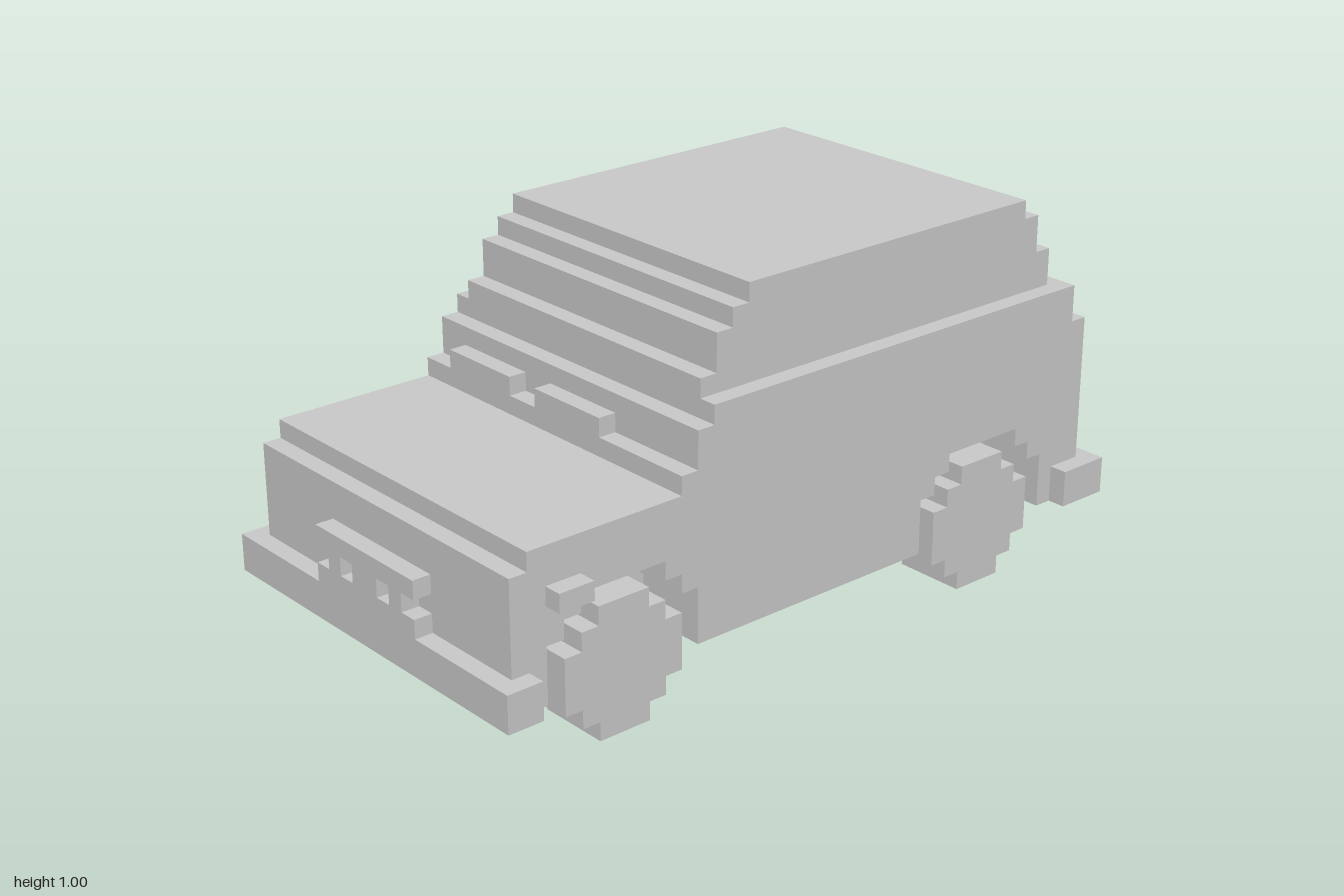
import * as THREE from 'three';

const material = new THREE.MeshStandardMaterial({ color: 0xcccccc, flatShading: true });

// Stepped outline in (z, y). Each row is [yBottom, yTop, zBack, zFront], listed from the bottom up.
// Runs up the front edge and down the back edge.
function steppedOutline(rows, shiftZ = 0) {
  const front = rows.flatMap(([y0, y1, , z]) => [[z, y0], [z, y1]]);
  const back = rows.flatMap(([y0, y1, z]) => [[z, y0], [z, y1]]).reverse();
  return [...front, ...back]
    .filter((p, i, a) => i === 0 || p[0] !== a[i - 1][0] || p[1] !== a[i - 1][1])
    .map(([z, y]) => new THREE.Vector2(z + shiftZ, y));
}

// Side outline extruded across x
function slab(name, outline, width, centreX = 0) {
  const geo = new THREE.ExtrudeGeometry(new THREE.Shape(outline), { depth: width, bevelEnabled: false });
  geo.translate(0, 0, -width / 2).rotateY(-Math.PI / 2).translate(centreX, 0, 0);
  const mesh = new THREE.Mesh(geo, material);
  mesh.name = name;
  return mesh;
}

// Box from its limits
function block(name, [x0, x1], [y0, y1], [z0, z1]) {
  const geo = new THREE.BoxGeometry(x1 - x0, y1 - y0, z1 - z0);
  const mesh = new THREE.Mesh(geo, material);
  mesh.position.set((x0 + x1) / 2, (y0 + y1) / 2, (z0 + z1) / 2);
  mesh.name = name;
  return mesh;
}

const BODY = [
  [0.15, 0.5, -0.95, 0.95], [0.5, 0.55, -0.95, 0.9], [0.55, 0.6, -0.95, 0.45],
  [0.6, 0.65, -0.95, 0.4], [0.65, 0.7, -0.9, 0.4], [0.7, 0.75, -0.9, 0.35],
];
const CABIN = [
  [0.75, 0.8, -0.85, 0.35], [0.8, 0.85, -0.85, 0.3], [0.85, 0.9, -0.8, 0.3],
  [0.9, 0.95, -0.8, 0.25], [0.95, 1, -0.75, 0.2],
];
const WHEEL = [
  [0, 0.05, -0.075, 0.075], [0.05, 0.1, -0.125, 0.125], [0.1, 0.25, -0.175, 0.175],
  [0.25, 0.3, -0.125, 0.125], [0.3, 0.35, -0.075, 0.075],
];
const ARCH = [
  [0.15, 0.3, -0.225, 0.225], [0.3, 0.35, -0.175, 0.175], [0.35, 0.4, -0.125, 0.125],
];
const AXLES = { front: 0.625, rear: -0.575 };

export function createModel() {
  const car = new THREE.Group();
  car.name = 'car';

  // Body core between the wheels, and the cabin on top
  car.add(slab('bodyCore', steppedOutline(BODY), 0.6));
  car.add(slab('cabin', steppedOutline(CABIN), 0.9));

  // Body sides with wheel arches cut into the lower edge
  const sideOutline = [
    ...steppedOutline(BODY),
    ...steppedOutline(ARCH, AXLES.rear).reverse(),
    ...steppedOutline(ARCH, AXLES.front).reverse(),
  ];
  for (const [side, s] of [['left', 1], ['right', -1]]) {
    car.add(slab(`${side}BodySide`, sideOutline, 0.2, s * 0.4));
    for (const [end, z] of Object.entries(AXLES)) {
      car.add(slab(`${side}${end === 'front' ? 'Front' : 'Rear'}Wheel`, steppedOutline(WHEEL, z), 0.2, s * 0.4));
    }
    // Small side lamp
    const lampX = s > 0 ? [0.5, 0.55] : [-0.55, -0.5];
    car.add(block(`${side}SideLamp`, lampX, [0.4, 0.45], [0.75, 0.85]));
    // Bumper ends wrapping round the body
    car.add(block(`${side}FrontBumperEnd`, lampX, [0.15, 0.25], [0.9, 1]));
    car.add(block(`${side}RearBumperEnd`, lampX, [0.15, 0.25], [-1, -0.85]));
  }

  // Bumper bars
  car.add(block('frontBumper', [-0.5, 0.5], [0.15, 0.25], [0.95, 1]));
  car.add(block('rearBumper', [-0.5, 0.5], [0.15, 0.25], [-1, -0.95]));

  // Grille: plate with notched ends and two square openings
  const plate = new THREE.Shape([
    [-0.2, 0.25], [0.2, 0.25], [0.2, 0.3], [0.15, 0.3], [0.15, 0.35], [0.2, 0.35],
    [0.2, 0.4], [-0.2, 0.4], [-0.2, 0.35], [-0.15, 0.35], [-0.15, 0.3], [-0.2, 0.3],
  ].map(([x, y]) => new THREE.Vector2(x, y)));
  for (const x of [-0.1, 0.05]) {
    plate.holes.push(new THREE.Path([[x, 0.3], [x, 0.35], [x + 0.05, 0.35], [x + 0.05, 0.3]]
      .map(([px, py]) => new THREE.Vector2(px, py))));
  }
  const grille = new THREE.Mesh(new THREE.ExtrudeGeometry(plate, { depth: 0.05, bevelEnabled: false }), material);
  grille.position.z = 0.95;
  grille.name = 'grille';
  car.add(grille);

  // Wipers at the foot of the windscreen
  car.add(block('rightWiper', [-0.4, -0.15], [0.6, 0.65], [0.4, 0.45]));
  car.add(block('leftWiper', [-0.05, 0.2], [0.6, 0.65], [0.4, 0.45]));

  return car;
}
